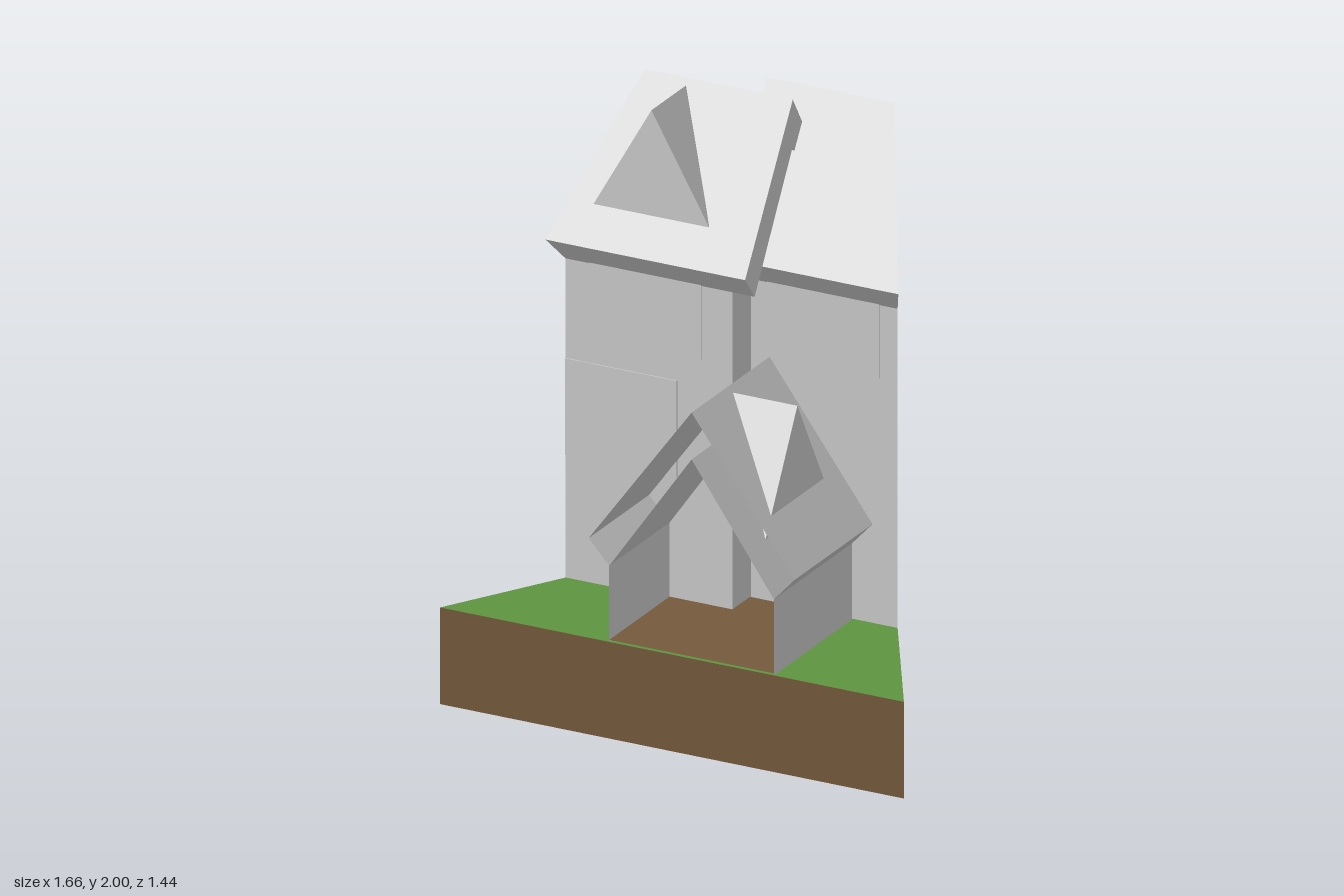
import * as THREE from 'three';

const GROUND = 0.33;
const EDGE = 0.576, APEX = -0.72, FRONT = 0.72;
const grey = new THREE.MeshStandardMaterial({ color: 0xcccccc, side: THREE.DoubleSide, flatShading: true });
const brown = new THREE.MeshStandardMaterial({ color: 0x755a3c, side: THREE.DoubleSide, flatShading: true });
const green = new THREE.MeshStandardMaterial({ color: 0x5f9440, side: THREE.DoubleSide, flatShading: true });

// x distance of the plot's slanted edge at depth z
const plotEdge = (z) => EDGE * (z - APEX);

// Mesh from flat convex polygons, each a list of [x, y, z]
function polygons(name, faces, material = grey) {
  const pos = [];
  for (const f of faces) {
    for (let i = 1; i < f.length - 1; i++) pos.push(...f[0], ...f[i], ...f[i + 1]);
  }
  const g = new THREE.BufferGeometry();
  g.setAttribute('position', new THREE.Float32BufferAttribute(pos, 3));
  g.computeVertexNormals();
  const mesh = new THREE.Mesh(g, material);
  mesh.name = name;
  return mesh;
}

// Thick gable roof: place(u, y, end) maps the cross-section to space,
// end 0 is the capped gable and end 1 the open cut
function gableRoof(name, half, top, place) {
  const outer = [[-half, top - 0.5], [0, top], [half, top - 0.5]];
  const inner = [[-half * 0.8, top - 0.58], [0, top - 0.16], [half * 0.8, top - 0.58]];
  const loop = [...outer, ...inner.slice().reverse()];
  const faces = loop.map((p, i) => {
    const q = loop[(i + 1) % loop.length];
    return [place(...p, 0), place(...q, 0), place(...q, 1), place(...p, 1)];
  });
  for (const i of [0, 1]) {
    faces.push([outer[i], outer[i + 1], inner[i + 1], inner[i]].map((p) => place(...p, 0)));
  }
  return polygons(name, faces);
}

// Open-sided house with its ridge along x, cut off by the plot's slanted edge
function house(name, side, ridgeZ, windows) {
  const g = new THREE.Group();
  g.name = name;
  const half = 0.32, wall = 0.255, eave = 1.42;
  g.add(gableRoof('roof', half, 2, (u, y, end) => {
    const z = ridgeZ + u;
    return [side * (end ? plotEdge(z) : -0.08), y, z];
  }));
  for (const [label, s] of [['frontWall', 1], ['backWall', -1]]) {
    const z = ridgeZ + s * wall, x = side * plotEdge(z);
    g.add(polygons(label, [[[0, GROUND, z], [x, GROUND, z], [x, eave, z], [0, eave, z]]]));
  }
  const f = ridgeZ + wall, b = ridgeZ - wall;
  g.add(polygons('gableWall', [
    [[0, GROUND, f], [0, GROUND, b], [0, eave, b], [0, 1.84, ridgeZ], [0, eave, f]],
  ]));
  g.add(polygons('floor', [[f, b].flatMap((z, i) => {
    const ends = [[0, GROUND + 0.004, z], [side * plotEdge(z), GROUND + 0.004, z]];
    return i ? ends.reverse() : ends;
  })], brown));
  // Window panes showing on both faces of the front wall
  for (const [x, y] of windows) {
    const pane = new THREE.Mesh(new THREE.BoxGeometry(0.4, 0.33, 0.008), grey);
    pane.position.set(x, y, f);
    pane.name = 'windowPane';
    g.add(pane);
  }
  return g;
}

// Gabled dormer: triangular face at the origin plane, ridge running back along -z
function dormer(name, half, height, depth) {
  const peak = [0, 0, 0], back = [0, 0, -depth];
  const l = [-half, -height, 0], r = [half, -height, 0];
  return polygons(name, [[l, r, peak], [l, peak, back], [r, back, peak]]);
}

export function createModel() {
  const model = new THREE.Group();
  model.name = 'houses';

  // Triangular plot with grass on top
  const w = plotEdge(FRONT);
  const corners = [[-w, FRONT], [w, FRONT], [0, APEX]];
  const ring = (y) => corners.map(([x, z]) => [x, y, z]);
  const low = ring(0), high = ring(GROUND);
  model.add(polygons('plotBase', [
    low.slice().reverse(),
    ...low.map((p, i) => [p, low[(i + 1) % 3], high[(i + 1) % 3], high[i]]),
  ], brown));
  model.add(polygons('grass', [high], green));

  // Two staggered houses
  model.add(house('leftwardHouse', -1, 0.06, [[-0.31, 1.335], [-0.397, 0.915]]));
  model.add(house('rightwardHouse', 1, -0.065, [[0.26, 1.335]]));

  // Porch with its ridge along z, open at the front
  const porch = new THREE.Group();
  porch.name = 'porch';
  const cx = 0.07, back = 0.197, half = 0.368;
  porch.add(gableRoof('porchRoof', half, 1.17, (u, y, end) => [cx + u, y, end ? FRONT : back]));
  const x0 = cx - half * 0.8, x1 = cx + half * 0.8;
  for (const x of [x0, x1]) {
    porch.add(polygons('porchWall', [
      [[x, GROUND, back], [x, GROUND, FRONT], [x, 0.59, FRONT], [x, 0.59, back]],
    ]));
  }
  const fy = GROUND + 0.007;
  porch.add(polygons('porchFloor', [
    [[x0, fy, FRONT], [x1, fy, FRONT], [x1, fy, back], [x0, fy, back]],
  ], brown));
  model.add(porch);

  // Dormers on the front roof and on the porch
  const roofDormer = dormer('roofDormer', 0.207, 0.36, 0.24);
  roofDormer.position.set(-0.295, 1.98, 0.305);
  const porchDormer = dormer('porchDormer', 0.214, 0.38, 0.235);
  porchDormer.position.set(0.315, 1.15, 0.47);
  porchDormer.rotation.y = Math.PI / 2;
  model.add(roofDormer, porchDormer);

  return model;
}
